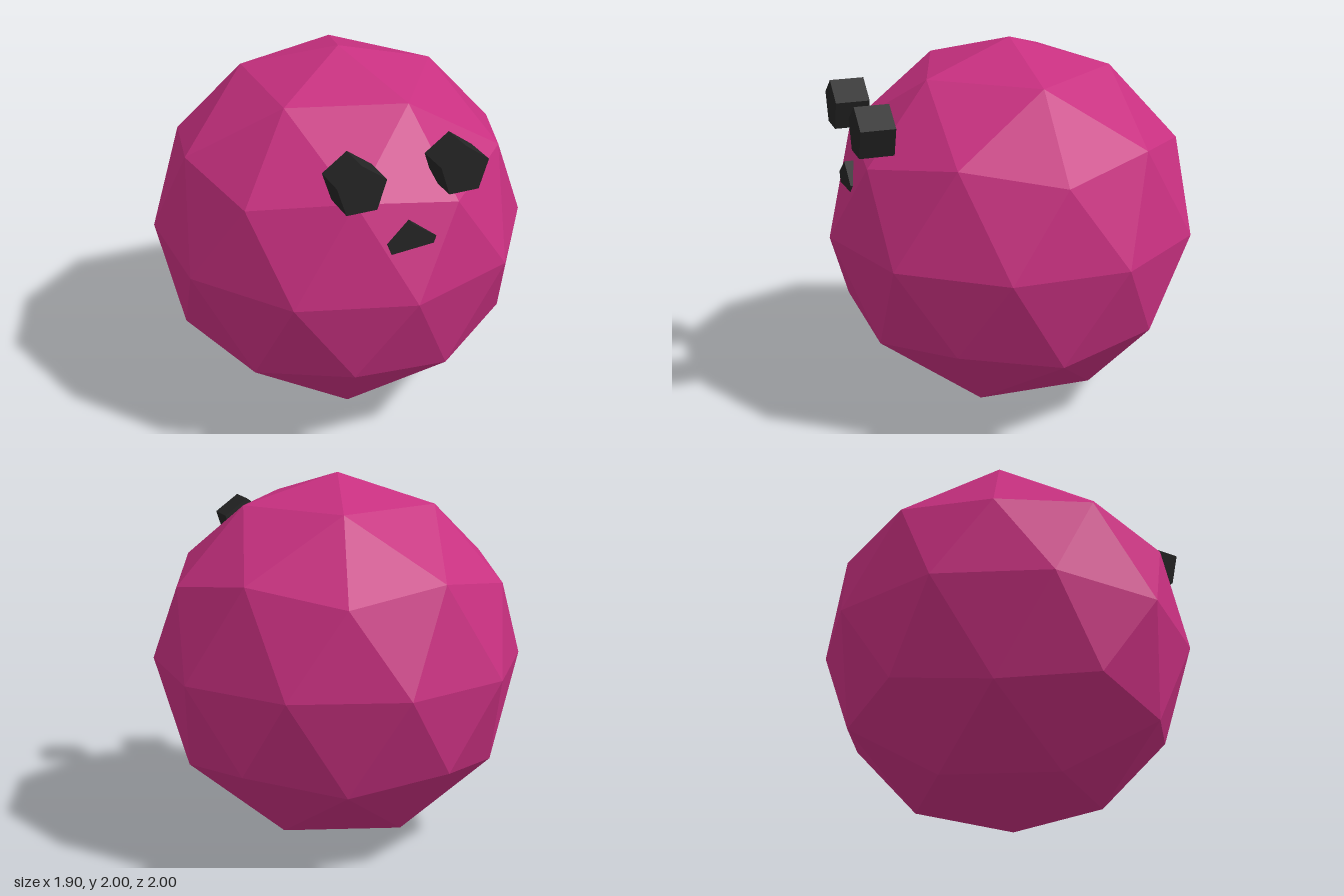
import * as THREE from 'three';

export function createModel() {
  const group = new THREE.Group();
  const pink = new THREE.MeshStandardMaterial({ name: 'pink', color: 0xc83080, flatShading: true });
  const black = new THREE.MeshStandardMaterial({ name: 'black', color: 0x242424, flatShading: true });

  // Faceted ball, turned so one of its main corners points straight up
  const ball = new THREE.IcosahedronGeometry(1, 1);
  ball.rotateZ(-Math.atan(2 / (1 + Math.sqrt(5))));
  ball.computeVertexNormals();
  const body = new THREE.Mesh(ball, pink);
  body.name = 'body';
  body.position.y = 1;
  group.add(body);

  // Pentagonal pegs facing forward, point up; the mouth is half sunk in the body
  const peg = new THREE.CylinderGeometry(0.1355, 0.1355, 0.18, 5).rotateX(-Math.PI / 2);
  const addPeg = (name, x, y) => {
    const mesh = new THREE.Mesh(peg, black);
    mesh.name = name;
    mesh.position.set(x, y, 0.815);
    group.add(mesh);
  };
  addPeg('leftEye', 0.272, 1.64);
  addPeg('rightEye', -0.272, 1.64);
  addPeg('mouth', 0, 1.2745);

  return group;
}
